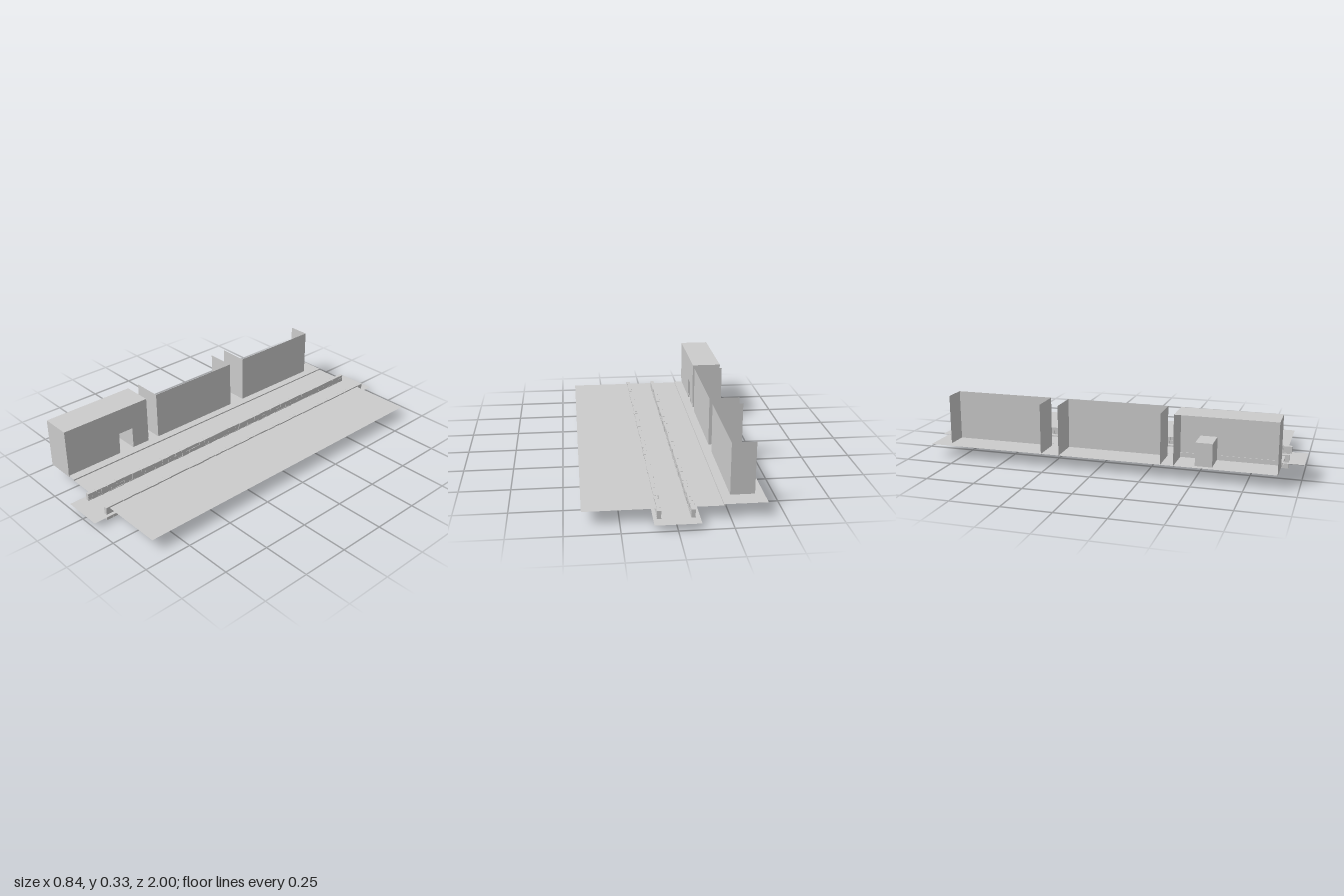
import * as THREE from 'three';

const mat = new THREE.MeshStandardMaterial({ color: 0xcccccc, side: THREE.DoubleSide, flatShading: true });
const FRONT = -0.262, BACK = -0.42, BASE = 0.063, TOP = 0.325;

function add(parent, name, geometry, x = 0, y = 0, z = 0) {
  const mesh = new THREE.Mesh(geometry, mat);
  mesh.name = name;
  mesh.position.set(x, y, z);
  parent.add(mesh);
  return mesh;
}

// Horizontal sheet between two x and two z limits
function sheet(parent, name, x0, x1, z0, z1, y) {
  const g = new THREE.PlaneGeometry(x1 - x0, z1 - z0).rotateX(-Math.PI / 2);
  return add(parent, name, g, (x0 + x1) / 2, y, (z0 + z1) / 2);
}

// Upright sheet across x, facing z
function endWall(parent, name, x0, x1, y0, y1, z) {
  return add(parent, name, new THREE.PlaneGeometry(x1 - x0, y1 - y0), (x0 + x1) / 2, (y0 + y1) / 2, z);
}

// Upright sheet along z, facing x, with an optional rectangular opening
function sideWall(parent, name, x, z0, z1, y0, y1, hole) {
  const rect = (S, a, b, c, d) => {
    const s = new S();
    s.moveTo(-a, c); s.lineTo(-b, c); s.lineTo(-b, d); s.lineTo(-a, d); s.closePath();
    return s;
  };
  const shape = rect(THREE.Shape, z1, z0, y0, y1);
  if (hole) shape.holes.push(rect(THREE.Path, ...hole));
  return add(parent, name, new THREE.ShapeGeometry(shape).rotateY(Math.PI / 2), x);
}

function seeded(seed) {
  let s = seed;
  return () => (s = (s * 16807) % 2147483647) / 2147483647;
}

// Four courses of uneven stone blocks
function stoneWall(name, x, seed) {
  const wall = new THREE.Group();
  wall.name = name;
  const rand = seeded(seed), h = 0.0175;
  for (let row = 0; row < 4; row++) {
    let z = -0.94;
    while (z < 0.915) {
      let len = 0.03 + rand() * 0.03;
      if (z + len > 0.9) len = 0.92 - z;
      const width = 0.018 + rand() * 0.004;
      add(wall, 'stoneBlock', new THREE.BoxGeometry(width, h - 0.0005 + rand() * 0.001, len - 0.001),
        x + (rand() - 0.5) * 0.003, h * (row + 0.5), z + len / 2);
      z += len;
    }
  }
  return wall;
}

export function createModel() {
  const model = new THREE.Group();
  model.name = 'canalStreet';

  // Ground and water
  sheet(model, 'water', -0.105, 0.105, -1, 1, 0.031);
  sheet(model, 'rightBank', 0.07, 0.42, -0.9, 0.9, BASE);
  sheet(model, 'road', -0.222, -0.07, -0.9, 0.9, BASE);
  sheet(model, 'pavement', BACK, -0.222, -0.9, 0.9, 0.069);
  add(model, 'kerb', new THREE.BoxGeometry(0.007, 0.007, 1.8), -0.2215, 0.0662, 0);

  // Canal walls
  model.add(stoneWall('leftCanalWall', 0.0775, 17), stoneWall('rightCanalWall', -0.0745, 91));

  // Corner house with roof, plinth and door recess
  const house = new THREE.Group();
  house.name = 'cornerHouse';
  model.add(house);
  const [dz0, dz1, doorTop, plinth, low] = [0.5, 0.585, 0.187, 0.093, -0.265];
  sideWall(house, 'frontWall', FRONT, 0.4, 0.9, plinth, TOP, [dz1, dz0, plinth + 1e-4, doorTop]);
  sideWall(house, 'plinthNear', low, dz1, 0.9, BASE, plinth);
  sideWall(house, 'plinthFar', low, 0.4, dz0, BASE, plinth);
  sheet(house, 'plinthLedge', low, FRONT, 0.4, 0.9, plinth);
  for (const z of [0.4, 0.9]) {
    endWall(house, 'endWall', BACK, FRONT, plinth, TOP, z);
    endWall(house, 'endPlinth', BACK, low, BASE, plinth, z);
  }
  sheet(house, 'roof', BACK, FRONT, 0.4, 0.9, TOP);
  const deep = -0.39;
  for (const z of [dz0, dz1]) endWall(house, 'doorJamb', deep, FRONT, BASE, doorTop, z);
  sideWall(house, 'doorBack', deep, dz0, dz1, BASE, doorTop);
  sheet(house, 'doorSoffit', deep, FRONT, dz0, dz1, doorTop);

  // Open-backed facades along the street
  for (const [z0, z1, farBack] of [[-0.19, 0.335, BACK], [-0.805, -0.285, -0.378]]) {
    const facade = new THREE.Group();
    facade.name = 'facade';
    sideWall(facade, 'frontWall', FRONT, z0, z1, BASE, TOP);
    endWall(facade, 'nearEndWall', BACK, FRONT, BASE, TOP, z1);
    endWall(facade, 'farEndWall', farBack, FRONT, BASE, TOP, z0);
    model.add(facade);
  }
  return model;
}
